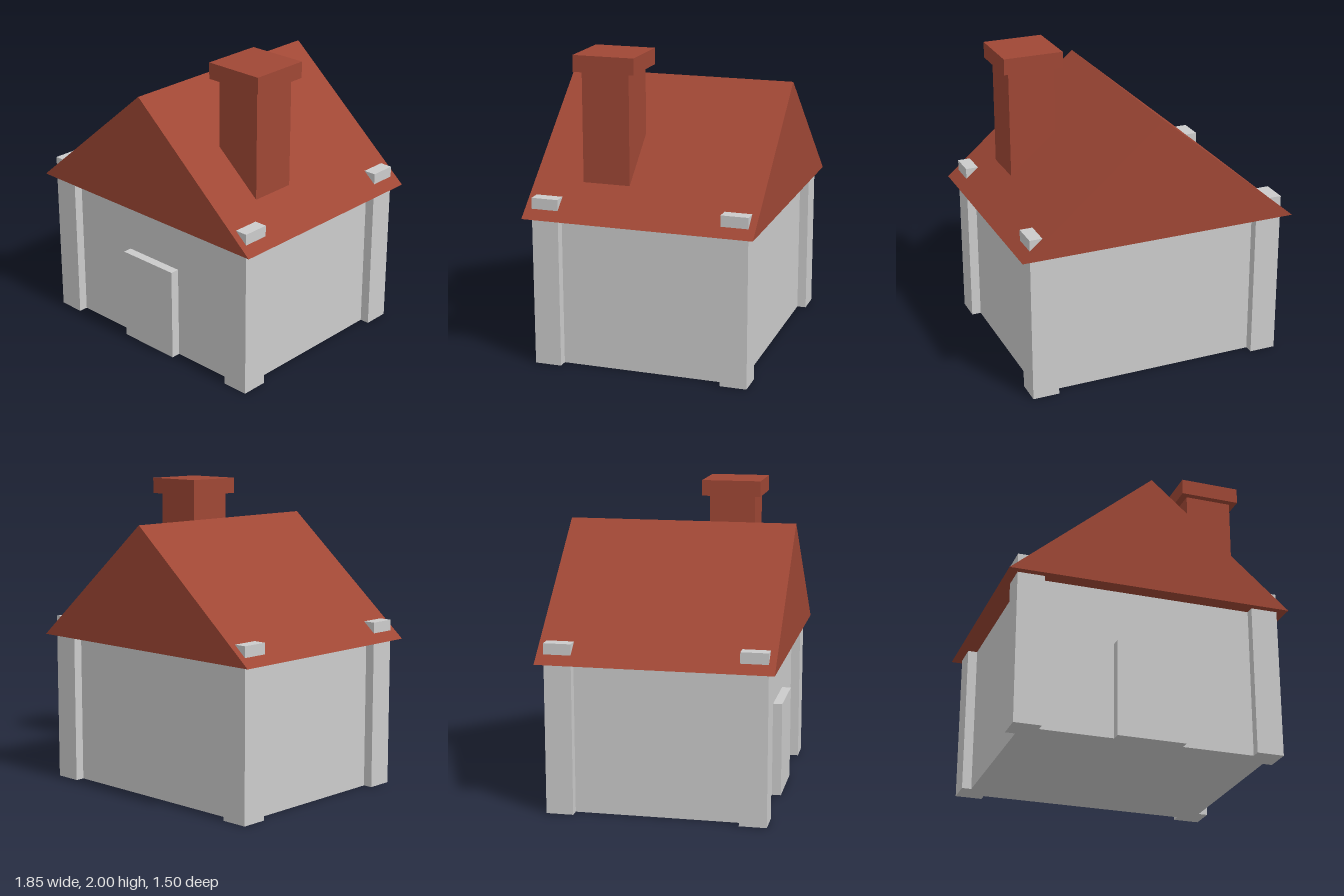
import * as THREE from 'three';

const grey = new THREE.MeshStandardMaterial({ color: 0xcccccc, flatShading: true });
const red = new THREE.MeshStandardMaterial({ color: 0x9f4735, flatShading: true });

export function createModel() {
  const house = new THREE.Group();
  house.name = 'house';

  // Box given by its lower and upper limits on each axis
  const box = (name, material, [x0, x1], [y0, y1], [z0, z1]) => {
    const mesh = new THREE.Mesh(new THREE.BoxGeometry(x1 - x0, y1 - y0, z1 - z0), material);
    mesh.position.set((x0 + x1) / 2, (y0 + y1) / 2, (z0 + z1) / 2);
    mesh.name = name;
    house.add(mesh);
  };

  // Walls and door slab
  box('walls', grey, [-0.8, 0.8], [0, 0.98], [-0.645, 0.645]);
  box('door', grey, [-0.22, 0.22], [0, 0.62], [0.6, 0.705]);

  // Corner posts, whose tops poke through the roof
  for (const [sx, side] of [[1, 'Left'], [-1, 'Right']]) {
    for (const [sz, end] of [[1, 'front'], [-1, 'back']]) {
      const x = [0.687 * sx, 0.862 * sx].sort((a, b) => a - b);
      const z = [0.53 * sz, 0.705 * sz].sort((a, b) => a - b);
      box(`${end}${side}Post`, grey, x, [0, 1.105], z);
    }
  }

  // Solid gable roof
  const gable = new THREE.Shape([
    new THREE.Vector2(-0.925, 0.98),
    new THREE.Vector2(0.925, 0.98),
    new THREE.Vector2(0, 1.77),
  ]);
  const roofGeometry = new THREE.ExtrudeGeometry(gable, { depth: 1.5, bevelEnabled: false });
  roofGeometry.translate(0, 0, -0.75);
  const roof = new THREE.Mesh(roofGeometry, red);
  roof.name = 'roof';
  house.add(roof);

  // Chimney with its cap
  box('chimney', red, [0.375, 0.685], [1.0, 1.895], [0.115, 0.423]);
  box('chimneyCap', red, [0.33, 0.727], [1.895, 2], [0.068, 0.465]);

  return house;
}
